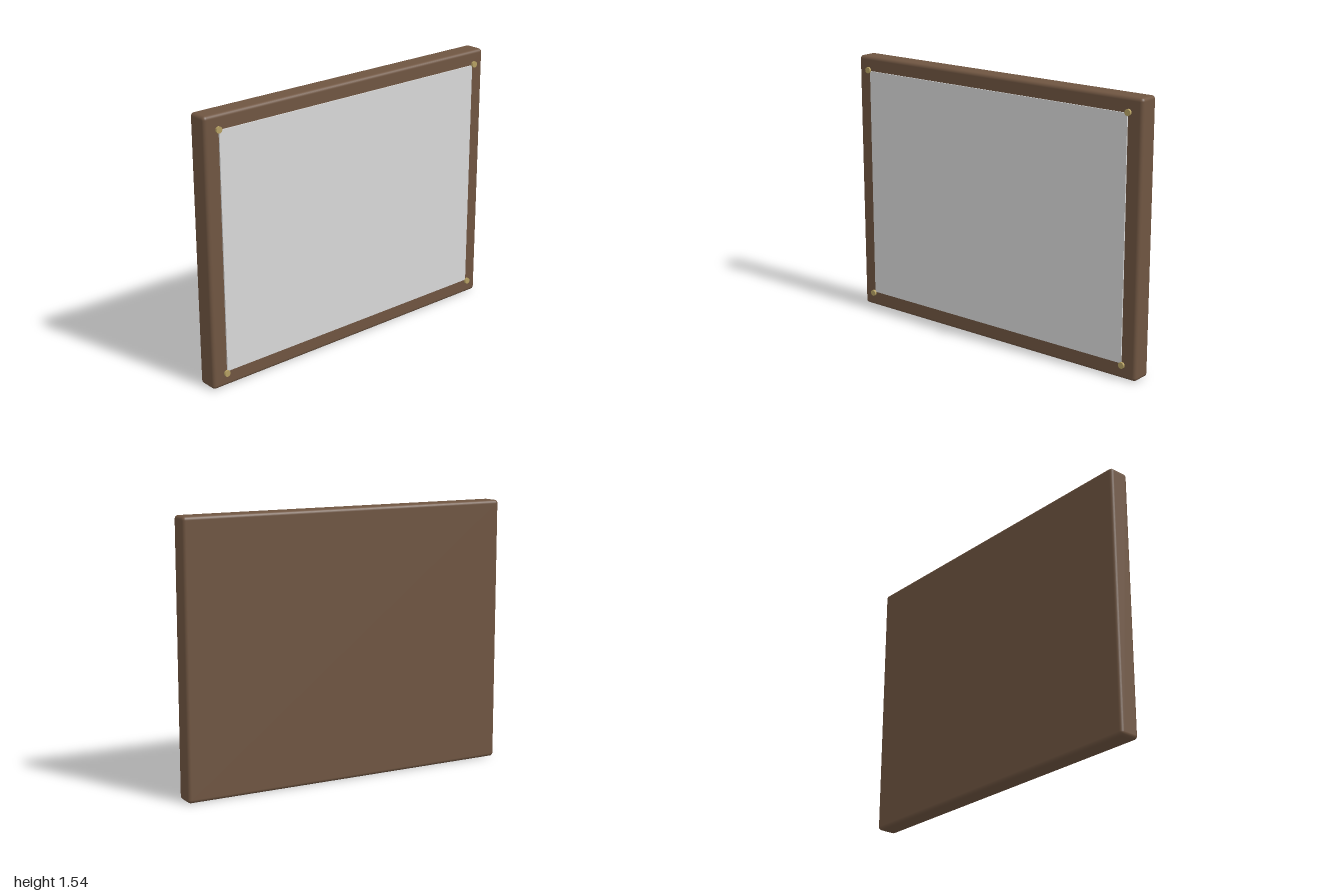
import * as THREE from 'three';
import { RoundedBoxGeometry } from 'three/addons/geometries/RoundedBoxGeometry.js';

const wood = new THREE.MeshStandardMaterial({ color: 0x6f5541 });
wood.name = 'brown wood';
const paper = new THREE.MeshStandardMaterial({ color: 0xd8d8d8 });
paper.name = 'pale grey panel';
const brass = new THREE.MeshStandardMaterial({ color: 0xb5a062 });
brass.name = 'brass';

const HEIGHT = 1.545;

function add(parent, name, geometry, material, x, y, z) {
  const mesh = new THREE.Mesh(geometry, material);
  mesh.name = name;
  mesh.position.set(x, y, z);
  parent.add(mesh);
  return mesh;
}

export function createModel() {
  const model = new THREE.Group();
  model.name = 'pinnedBoard';

  // Solid backing board with softened edges
  add(model, 'board', new RoundedBoxGeometry(2, HEIGHT, 0.122, 4, 0.02), wood, 0, HEIGHT / 2, -0.01);

  // Thin sheet on the front
  add(model, 'sheet', new THREE.BoxGeometry(1.82, 1.37, 0.008), paper, 0, 0.775, 0.054);

  // A round-headed pin at each corner of the sheet
  const head = new THREE.CylinderGeometry(0.018, 0.018, 0.012, 24).rotateX(Math.PI / 2);
  const stem = new THREE.CylinderGeometry(0.006, 0.006, 0.03, 12).rotateX(Math.PI / 2);
  for (const x of [-0.918, 0.918]) {
    for (const y of [0.083, 1.466]) {
      const pin = new THREE.Group();
      pin.name = 'pin';
      pin.position.set(x, y, 0);
      add(pin, 'pinHead', head, brass, 0, 0, 0.065);
      add(pin, 'pinStem', stem, brass, 0, 0, 0.048);
      model.add(pin);
    }
  }
  return model;
}
